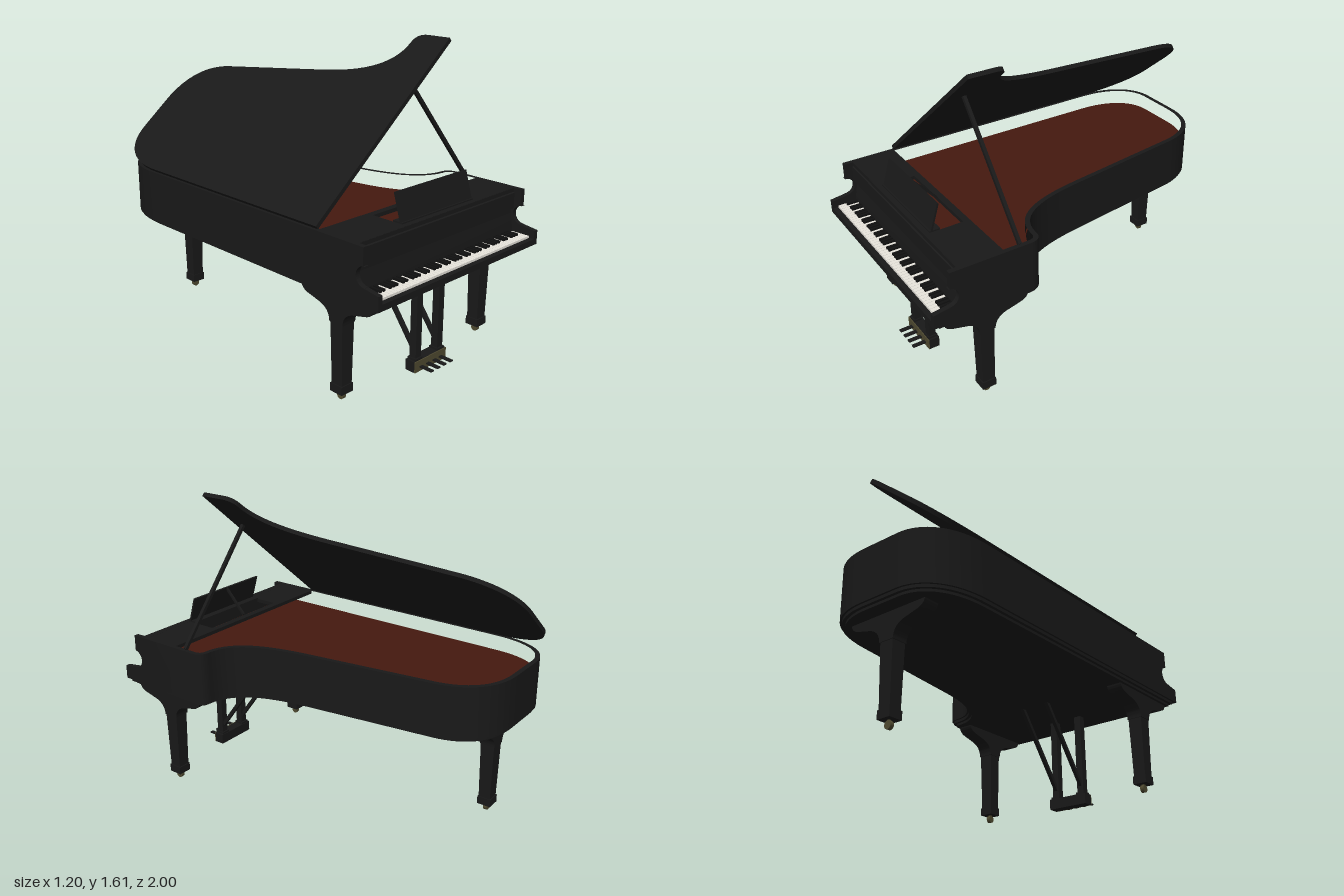
import * as THREE from 'three';
import { toCreasedNormals } from 'three/addons/utils/BufferGeometryUtils.js';

const mat = (color) => new THREE.MeshStandardMaterial({ color });
const black = mat(0x191919), red = mat(0x45190f), brass = mat(0x4f4a30);
const ivory = mat(0xe8e5dd), ebony = mat(0x111111);

function add(parent, name, geometry, material, x = 0, y = 0, z = 0) {
  const mesh = new THREE.Mesh(geometry, material);
  mesh.name = name;
  mesh.position.set(x, y, z);
  parent.add(mesh);
  return mesh;
}

// Box given by its limits on each axis
function block(parent, name, material, [x0, x1], [y0, y1], [z0, z1]) {
  return add(parent, name, new THREE.BoxGeometry(x1 - x0, y1 - y0, z1 - z0), material,
    (x0 + x1) / 2, (y0 + y1) / 2, (z0 + z1) / 2);
}

// Straight square bar between two points
function bar(parent, name, a, b, width, material = black) {
  const from = new THREE.Vector3(...a), to = new THREE.Vector3(...b);
  const mesh = add(parent, name, new THREE.BoxGeometry(width, width, from.distanceTo(to)), material);
  mesh.position.copy(from).lerp(to, 0.5);
  mesh.lookAt(to);
  return mesh;
}

// Curved case outline as plan points (x, -z), moved inwards by d
function outline(front, d = 0) {
  const s = new THREE.Shape();
  s.moveTo(-0.6, -front);
  s.lineTo(-0.6, 0.66);
  s.bezierCurveTo(-0.6, 0.88, -0.5, 1, -0.36, 1);
  s.lineTo(-0.15, 1);
  s.bezierCurveTo(0.05, 1, 0.15, 0.88, 0.175, 0.72);
  s.lineTo(0.27, 0.02);
  s.bezierCurveTo(0.3, -0.2, 0.36, -0.4, 0.53, -0.41);
  s.quadraticCurveTo(0.6, -0.41, 0.6, -0.48);
  s.lineTo(0.6, -front);
  const p = s.getPoints(16);
  if (d === 0) return p;
  return p.map((q, i) => {
    const u = q.clone().sub(p[(i + p.length - 1) % p.length]).normalize();
    const v = p[(i + 1) % p.length].clone().sub(q).normalize();
    const n1 = new THREE.Vector2(u.y, -u.x), n2 = new THREE.Vector2(v.y, -v.x);
    const k = d / (1 + n1.dot(n2));
    return q.clone().addScaledVector(n1.add(n2), k);
  });
}

const smooth = (shape, depth) => toCreasedNormals(
  new THREE.ExtrudeGeometry(shape, { depth, bevelEnabled: false, curveSegments: 16 }), 0.6);

// Horizontal slab from a plan outline
function slab(points, height, holes = []) {
  const shape = new THREE.Shape(points);
  holes.forEach((h) => shape.holes.push(new THREE.Path(h)));
  return smooth(shape, height).rotateX(-Math.PI / 2);
}

// Side profile in (z, y) extruded across x and centred on it
const across = (shape, width) => smooth(shape, width).rotateY(-Math.PI / 2).translate(width / 2, 0, 0);
const vec = (pairs) => pairs.map(([a, b]) => new THREE.Vector2(a, b));

function makeLeg(name, x, z, turn) {
  const leg = new THREE.Group();
  leg.name = name;
  leg.position.set(x, 0, z);
  leg.rotation.y = turn;
  const taper = new THREE.CylinderGeometry(0.04 * Math.SQRT2, 0.033 * Math.SQRT2, 0.42, 4)
    .rotateY(Math.PI / 4).toNonIndexed();
  taper.computeVertexNormals();
  add(leg, 'legPost', taper, black, 0, 0.285, 0);
  block(leg, 'legFoot', black, [-0.038, 0.038], [0.042, 0.085], [-0.038, 0.038]);
  // Flared bracket under the case
  const s = new THREE.Shape();
  s.moveTo(-0.23, 0.54);
  s.quadraticCurveTo(-0.225, 0.505, -0.18, 0.495);
  s.lineTo(-0.12, 0.48);
  s.quadraticCurveTo(-0.045, 0.465, -0.042, 0.4);
  s.lineTo(0.042, 0.4);
  s.quadraticCurveTo(0.045, 0.465, 0.12, 0.48);
  s.lineTo(0.18, 0.495);
  s.quadraticCurveTo(0.225, 0.505, 0.23, 0.54);
  add(leg, 'legBracket', smooth(s, 0.084), black, 0, 0, -0.042);
  // Caster
  add(leg, 'casterWheel', new THREE.CylinderGeometry(0.02, 0.02, 0.02, 16).rotateX(Math.PI / 2), brass, 0, 0.02, 0);
  add(leg, 'casterStem', new THREE.CylinderGeometry(0.01, 0.01, 0.03, 12), brass, 0, 0.035, 0);
  return leg;
}

export function createModel() {
  const piano = new THREE.Group();
  piano.name = 'grandPiano';

  // Case: rim, stepped base and soundboard
  add(piano, 'rim', slab(outline(0.85), 0.275, [outline(0.85, 0.025)]), black, 0, 0.565, 0);
  add(piano, 'baseMoulding', slab(outline(0.98, 0.01), 0.015), black, 0, 0.55, 0);
  add(piano, 'bottomPanel', slab(outline(0.98, 0.026), 0.014), black, 0, 0.537, 0);
  add(piano, 'soundboard', slab(outline(0.83, 0.02), 0.01), red, 0, 0.745, 0);

  // Key cheeks with a round cove
  const cheek = new THREE.Shape();
  cheek.moveTo(0.85, 0.565);
  cheek.lineTo(1, 0.565);
  cheek.lineTo(1, 0.64);
  cheek.lineTo(0.915, 0.652);
  cheek.absarc(0.915, 0.703, 0.05, -Math.PI / 2, Math.PI / 2, true);
  cheek.lineTo(0.908, 0.753);
  cheek.lineTo(0.908, 0.84);
  cheek.lineTo(0.85, 0.84);
  for (const side of [-1, 1]) add(piano, 'cheek', across(cheek, 0.026), black, side * 0.587, 0, 0);

  // Keybed, key slip and fallboard
  block(piano, 'keybed', black, [-0.576, 0.576], [0.56, 0.588], [0.8, 0.98]);
  block(piano, 'keySlip', black, [-0.576, 0.576], [0.565, 0.597], [0.972, 1]);
  const fall = new THREE.Shape(vec([[0.82, 0.58], [0.866, 0.58], [0.866, 0.625], [0.846, 0.722],
    [0.866, 0.732], [0.866, 0.815], [0.858, 0.82], [0.858, 0.84], [0.82, 0.84]]));
  add(piano, 'fallboard', across(fall, 1.152), black);

  // Top board with the opening behind the music desk
  add(piano, 'topBoard', slab(vec([[-0.58, -0.86], [0.58, -0.86], [0.58, -0.615], [-0.58, -0.615]]), 0.02,
    [vec([[-0.262, -0.78], [-0.262, -0.65], [0.265, -0.65], [0.265, -0.78]])]), black, 0, 0.8195, 0);

  // Keyboard: 52 white and 36 black keys
  const keys = new THREE.Group();
  keys.name = 'keyboard';
  piano.add(keys);
  const w = 1.144 / 52;
  for (let i = 0; i < 52; i++) {
    const x = -0.572 + i * w;
    block(keys, 'whiteKey', ivory, [x + 0.001, x + w - 0.001], [0.588, 0.608], [0.862, 0.971]);
    if (i < 51 && [0, 2, 3, 5, 6].includes(i % 7)) {
      block(keys, 'blackKey', ebony, [x + w * 0.72, x + w * 1.28], [0.6, 0.62], [0.862, 0.929]);
    }
  }

  // Music desk, ledge and support
  const desk = add(piano, 'musicDesk', new THREE.BoxGeometry(0.525, 0.15, 0.01), black, 0.002, 0.911, 0.8);
  desk.rotation.x = -0.29;
  block(piano, 'deskLedge', black, [-0.262, 0.265], [0.838, 0.847], [0.775, 0.832]);
  bar(piano, 'deskSupport', [0, 0.975, 0.778], [0, 0.842, 0.655], 0.012);

  // Raised lid, hinged on the straight side
  const lid = new THREE.Group();
  lid.name = 'lid';
  lid.position.set(-0.587, 0.842, 0);
  lid.rotation.z = 0.693;
  piano.add(lid);
  add(lid, 'lidPanel', slab(outline(0.617), 0.022).translate(0.6, 0, 0).scale(0.98, 1, 1), black);
  bar(piano, 'lidProp', [0.585, 0.845, 0.532], [0.11, 1.41, 0.532], 0.018);

  // Legs
  piano.add(makeLeg('frontRightLeg', -0.517, 0.705, Math.PI / 2));
  piano.add(makeLeg('frontLeftLeg', 0.523, 0.705, Math.PI / 2));
  piano.add(makeLeg('rearLeg', -0.212, -0.855, 0));

  // Pedal lyre
  const lyre = new THREE.Group();
  lyre.name = 'pedalLyre';
  piano.add(lyre);
  for (const x of [-0.081, 0.086]) {
    block(lyre, 'lyrePost', black, [x - 0.02, x + 0.02], [0.08, 0.54], [0.765, 0.805]);
    block(lyre, 'postFoot', black, [x - 0.026, x + 0.026], [0.078, 0.092], [0.758, 0.812]);
    bar(lyre, 'lyreBrace', [x, 0.13, 0.775], [x, 0.545, 0.468], 0.02);
  }
  block(lyre, 'pedalBox', black, [-0.117, 0.122], [0.022, 0.08], [0.755, 0.812]);
  block(lyre, 'pedalPlate', brass, [-0.117, 0.122], [0.022, 0.08], [0.812, 0.817]);
  for (let i = 0; i < 4; i++) {
    const x = -0.072 + i * 0.05;
    block(lyre, 'pedal', black, [x - 0.011, x + 0.011], [0.042, 0.049], [0.81, 0.89]);
  }
  return piano;
}
